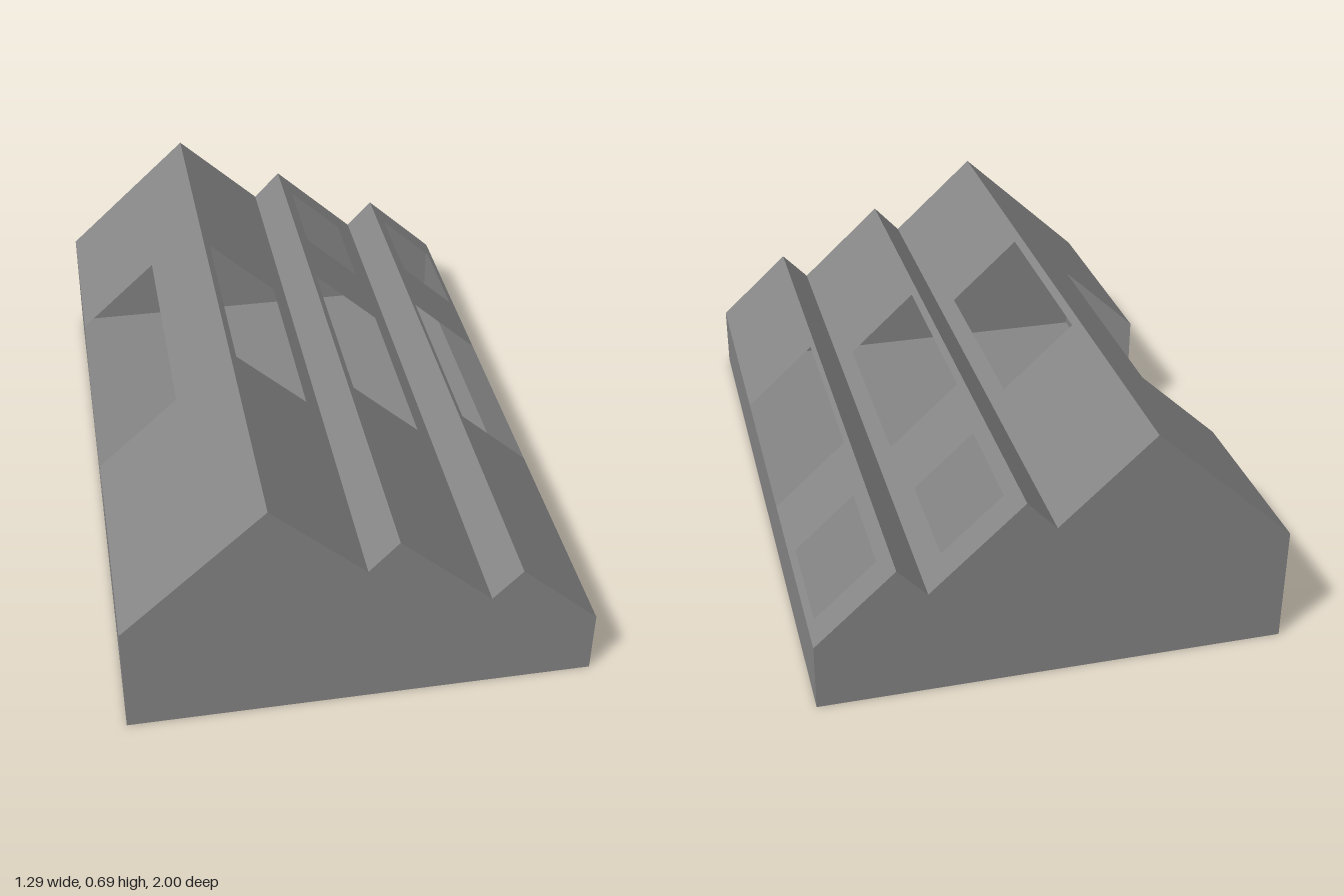
import * as THREE from 'three';

const material = new THREE.MeshStandardMaterial({ color: 0x868686, flatShading: true, side: THREE.DoubleSide });

// Cross-section, counterclockwise from the floor's right edge over the roofs
const section = [
  [0.643, 0], [0.643, 0.19], [0.424, 0.39], [0.343, 0.305], [0.086, 0.54],
  [0.004, 0.453], [-0.255, 0.69], [-0.645, 0.332], [-0.645, 0],
];

// One panel per section edge. An opening is [from, to, zBack, zFront];
// from and to are x on a slope and y on an upright wall.
const panels = [
  { name: 'rightWall', openings: [] },
  { name: 'lowRoofSlope', openings: [[0.643, 0.437, -0.322, 0.297], [0.625, 0.457, -0.902, -0.577]] },
  { name: 'lowRoofStep', openings: [] },
  { name: 'middleRoofSlope', openings: [[0.302, 0.103, -0.322, 0.297], [0.287, 0.12, -0.902, -0.577]] },
  { name: 'middleRoofStep', openings: [] },
  { name: 'highRoofSlope', openings: [[-0.036, -0.237, -0.322, 0.297]] },
  { name: 'leftRoofSlope', openings: [[-0.413, -0.645, -0.446, 0.297]] },
  { name: 'leftWall', openings: [[0.332, 0.12, -0.446, 0.297]] },
  { name: 'floor', openings: [] },
];

const sortedCuts = (values) => [...new Set(values)].sort((a, b) => a - b);

// Thin sheet from a to b across the full depth, tiled around its openings
function panelGeometry(a, b, openings) {
  const axis = a[0] === b[0] ? 1 : 0;
  const along = (v) => (v - a[axis]) / (b[axis] - a[axis]);
  const holes = openings.map(([from, to, z0, z1]) => [along(from), along(to), z0, z1]);
  const ts = sortedCuts([0, 1, ...holes.flatMap((h) => [h[0], h[1]])]);
  const zs = sortedCuts([-1, 1, ...holes.flatMap((h) => [h[2], h[3]])]);
  const point = (t, z) => [a[0] + (b[0] - a[0]) * t, a[1] + (b[1] - a[1]) * t, z];
  const positions = [];
  for (let i = 0; i < ts.length - 1; i++) {
    for (let j = 0; j < zs.length - 1; j++) {
      const t = (ts[i] + ts[i + 1]) / 2;
      const z = (zs[j] + zs[j + 1]) / 2;
      if (holes.some((h) => t > h[0] && t < h[1] && z > h[2] && z < h[3])) continue;
      const p = point(ts[i], zs[j]);
      const q = point(ts[i + 1], zs[j]);
      const r = point(ts[i + 1], zs[j + 1]);
      const s = point(ts[i], zs[j + 1]);
      positions.push(...p, ...q, ...r, ...p, ...r, ...s);
    }
  }
  const geometry = new THREE.BufferGeometry();
  geometry.setAttribute('position', new THREE.Float32BufferAttribute(positions, 3));
  geometry.computeVertexNormals();
  return geometry;
}

export function createModel() {
  const group = new THREE.Group();
  group.name = 'steppedRoofBuilding';
  const add = (name, geometry) => {
    const mesh = new THREE.Mesh(geometry, material);
    mesh.name = name;
    group.add(mesh);
    return mesh;
  };

  // Floor, side walls and roof slopes of the hollow shell
  panels.forEach(({ name, openings }, i) => {
    add(name, panelGeometry(section[i], section[(i + 1) % section.length], openings));
  });

  // Gable walls at both ends
  const gable = new THREE.Shape(section.map(([x, y]) => new THREE.Vector2(x, y)));
  add('frontGable', new THREE.ShapeGeometry(gable)).position.z = 1;
  const mirrored = new THREE.Shape(section.map(([x, y]) => new THREE.Vector2(-x, y)));
  const back = add('backGable', new THREE.ShapeGeometry(mirrored));
  back.rotation.y = Math.PI;
  back.position.z = -1;

  return group;
}
